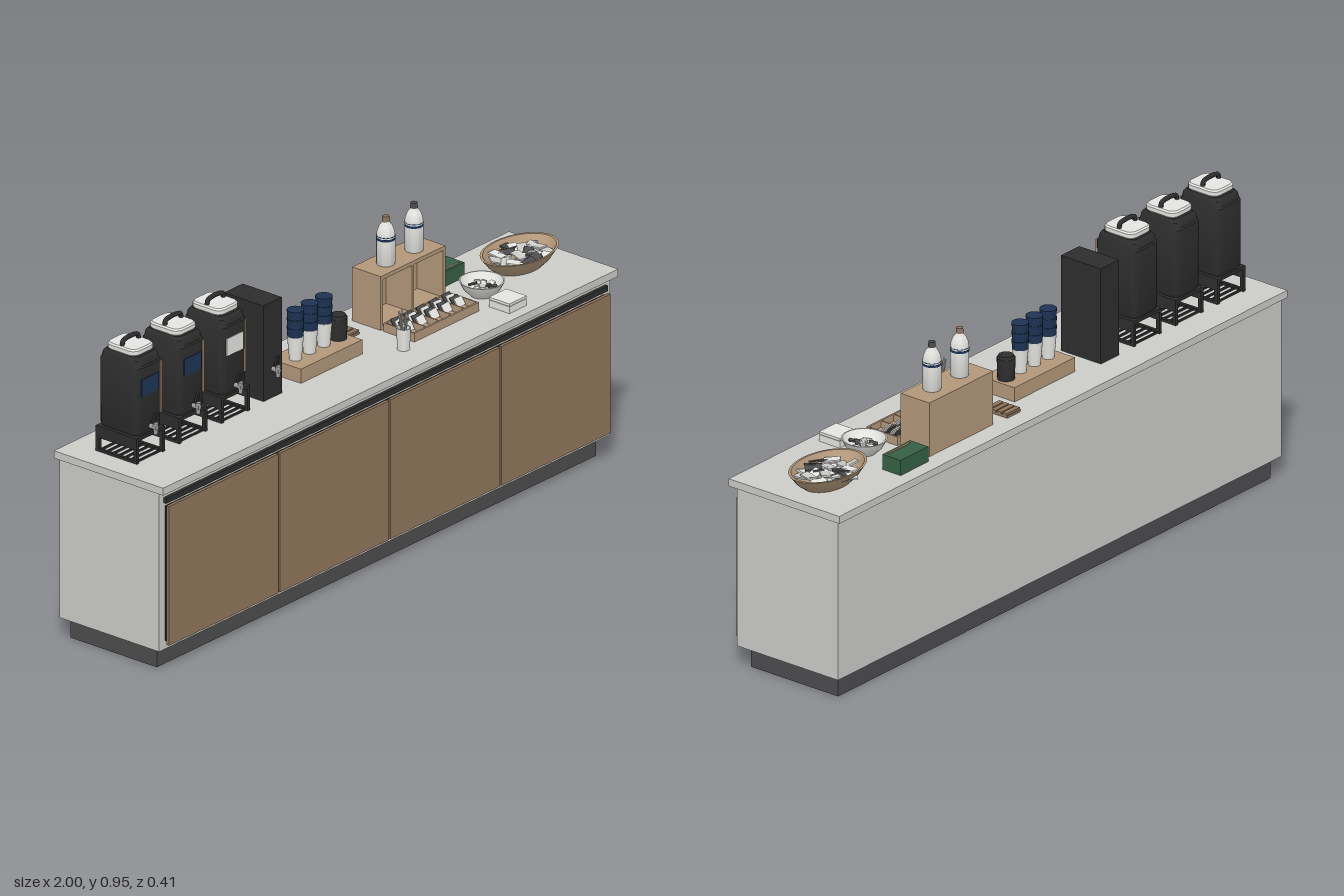
import * as THREE from 'three';
import { toCreasedNormals } from 'three/addons/utils/BufferGeometryUtils.js';

const mat = (name, color) => {
  const m = new THREE.MeshStandardMaterial({ color });
  m.name = name;
  return m;
};

export function createModel() {
  const root = new THREE.Group();
  root.name = 'beverageCounter';
  const M = {
    stone: mat('pale grey laminate', 0xcbcbc8),
    wood: mat('walnut', 0x8f755b),
    tan: mat('light wood', 0xb2977a),
    black: mat('black plastic', 0x2d2d2d),
    plinth: mat('dark grey', 0x4c4c4e),
    white: mat('white', 0xe4e4e1),
    blue: mat('navy blue', 0x1d3354),
    green: mat('green', 0x355f44),
    steel: mat('steel', 0x9c9d9e),
  };
  const TOP = 0.583;

  const group = (name, x = 0, y = 0, z = 0, parent = root) => {
    const g = new THREE.Group();
    g.name = name;
    g.position.set(x, y, z);
    parent.add(g);
    return g;
  };
  const add = (parent, name, geo, m, x = 0, y = 0, z = 0) => {
    const mesh = new THREE.Mesh(geo, m);
    mesh.name = name;
    mesh.position.set(x, y, z);
    parent.add(mesh);
    return mesh;
  };
  // box given by its limits on each axis
  const box = (p, name, m, x0, x1, y0, y1, z0, z1) =>
    add(p, name, new THREE.BoxGeometry(x1 - x0, y1 - y0, z1 - z0), m, (x0 + x1) / 2, (y0 + y1) / 2, (z0 + z1) / 2);
  // cylinder standing on y
  const cyl = (p, name, m, rTop, rBot, h, x, y, z, n = 20) =>
    add(p, name, new THREE.CylinderGeometry(rTop, rBot, h, n), m, x, y + h / 2, z);
  const lathe = (p, name, m, pts, x, y, z, n = 28) =>
    add(p, name, toCreasedNormals(new THREE.LatheGeometry(pts.map(a => new THREE.Vector2(...a)), n), 0.6), m, x, y, z);

  // stacked rounded-rectangle sections: [y, width, depth, corner radius]
  const loft = (rings) => {
    const pos = [], idx = [], n = 16;
    for (const [y, w, d, r] of rings) {
      for (let i = 0; i < n; i++) {
        const q = Math.floor(i / 4), a = (q + (i % 4) / 3) * Math.PI / 2;
        const sx = q === 0 || q === 3 ? 1 : -1, sz = q < 2 ? 1 : -1;
        pos.push(sx * (w / 2 - r) + r * Math.cos(a), y, sz * (d / 2 - r) + r * Math.sin(a));
      }
    }
    for (let k = 0; k < rings.length - 1; k++) {
      for (let i = 0; i < n; i++) {
        const a = k * n + i, b = k * n + (i + 1) % n;
        idx.push(a, a + n, b, b, a + n, b + n);
      }
    }
    const t = (rings.length - 1) * n;
    for (let i = 1; i < n - 1; i++) idx.push(0, i, i + 1, t, t + i + 1, t + i);
    const g = new THREE.BufferGeometry();
    g.setAttribute('position', new THREE.Float32BufferAttribute(pos, 3));
    g.setIndex(idx);
    return toCreasedNormals(g, 0.6);
  };
  let seed = 7;
  const rand = () => (seed = (seed * 16807) % 2147483647) / 2147483647;

  // cabinet
  const cabinet = group('cabinet');
  box(cabinet, 'plinth', M.plinth, -0.965, 0.965, 0, 0.065, -0.17, 0.15);
  box(cabinet, 'carcass', M.stone, -0.99, 0.99, 0.065, 0.56, -0.19, 0.18);
  box(cabinet, 'worktop', M.stone, -1, 1, 0.56, TOP, -0.203, 0.203);
  box(cabinet, 'gripRail', M.black, -0.97, 0.97, 0.521, 0.538, 0.179, 0.19);
  box(cabinet, 'doorShadowGap', M.black, -0.965, 0.965, 0.09, 0.51, 0.179, 0.182);
  for (let i = 0; i < 4; i++) {
    const x = -0.973 + i * 0.4865;
    box(cabinet, 'door', M.wood, x + 0.003, x + 0.4835, 0.083, 0.515, 0.19, 0.2);
  }

  // spout and lever shared by the urns and the tower
  const tap = (p, y, z) => {
    const t = group('tap', 0, y, z, p);
    add(t, 'tapStem', new THREE.CylinderGeometry(0.007, 0.007, 0.026, 12), M.steel, 0, 0, 0.013).rotation.x = Math.PI / 2;
    cyl(t, 'spout', M.steel, 0.008, 0.006, 0.034, 0, -0.02, 0.02, 12);
    box(t, 'lever', M.black, -0.005, 0.005, 0.013, 0.045, 0.012, 0.02).rotation.x = 0.25;
  };

  // insulated urns on stands
  [-0.86, -0.673, -0.487].forEach((x, i) => {
    const urn = group('urn', x, 0, -0.037);
    for (const sx of [-1, 1]) {
      for (const z of [-0.07, 0.07]) box(urn, 'standLeg', M.black, sx * 0.057 - 0.005, sx * 0.057 + 0.005, TOP, 0.66, z - 0.006, z + 0.006);
      box(urn, 'standSideRail', M.black, sx * 0.057 - 0.004, sx * 0.057 + 0.004, 0.625, 0.66, -0.07, 0.07);
      box(urn, 'standFoot', M.black, sx * 0.057 - 0.005, sx * 0.057 + 0.005, TOP, 0.591, -0.076, 0.076);
    }
    box(urn, 'standPlate', M.black, -0.062, 0.062, 0.652, 0.662, -0.076, 0.076);
    for (let k = 0; k < 7; k++) box(urn, 'dripGrate', M.black, -0.055, 0.055, TOP, 0.588, -0.069 + k * 0.022, -0.063 + k * 0.022);
    add(urn, 'urnBody', loft([[0.66, 0.1, 0.136, 0.016], [0.672, 0.112, 0.148, 0.02], [0.872, 0.112, 0.15, 0.02],
      [0.876, 0.11, 0.142, 0.02], [0.893, 0.104, 0.136, 0.02], [0.902, 0.09, 0.12, 0.02]]), M.black);
    add(urn, 'urnLid', loft([[0.9, 0.085, 0.1, 0.02], [0.906, 0.094, 0.112, 0.022], [0.918, 0.094, 0.112, 0.022], [0.923, 0.086, 0.104, 0.02]]), M.white);
    const arch = new THREE.CatmullRomCurve3([[-0.036, 0.918], [-0.033, 0.934], [-0.02, 0.939], [0.02, 0.939], [0.033, 0.934], [0.036, 0.918]]
      .map(([a, b]) => new THREE.Vector3(a, b, 0)));
    add(urn, 'urnHandle', new THREE.TubeGeometry(arch, 24, 0.007, 8), M.black);
    box(urn, 'urnLabel', i < 2 ? M.blue : M.white, -0.04, 0.034, 0.785, 0.838, 0.072, 0.077);
    box(urn, 'sightGauge', M.tan, 0.041, 0.047, 0.71, 0.87, 0.07, 0.077);
    tap(urn, 0.682, 0.074);
  });

  // slim water tower
  const tower = group('waterTower', -0.315, 0, -0.042);
  box(tower, 'towerBase', M.black, -0.04, 0.04, TOP, 0.594, -0.073, 0.073);
  box(tower, 'towerBody', M.black, -0.041, 0.041, 0.594, 0.88, -0.073, 0.073);
  tap(tower, 0.672, 0.073);

  // cup stacks on a wooden riser
  const cups = group('cupStand', -0.055, 0, -0.03);
  box(cups, 'cupRiser', M.tan, -0.135, 0.135, TOP, 0.627, -0.06, 0.06);
  for (const x of [-0.088, -0.026, 0.037]) {
    cyl(cups, 'cup', M.white, 0.024, 0.018, 0.073, x, 0.627, 0);
    for (let k = 0; k < 3; k++) cyl(cups, 'cupSleeve', M.blue, 0.025, 0.023, 0.027, x, 0.699 + k * 0.027, 0);
  }
  cyl(cups, 'lidStack', M.black, 0.027, 0.025, 0.066, 0.1, 0.627, 0);
  cyl(cups, 'lidRim', M.black, 0.022, 0.026, 0.008, 0.1, 0.693, 0);

  // small slatted coaster stack
  const coasters = group('coasters', 0.15, 0, -0.105);
  box(coasters, 'coasterBase', M.wood, -0.03, 0.03, TOP, 0.59, -0.04, 0.04);
  for (let k = 0; k < 4; k++) box(coasters, 'coasterSlat', M.wood, -0.03, 0.03, 0.59, 0.596, -0.038 + k * 0.02, -0.022 + k * 0.02);

  // stirrer cup
  const stir = group('stirrers', 0.182, TOP, 0.097);
  lathe(stir, 'stirrerCup', M.white, [[0, 0], [0.018, 0], [0.021, 0.067], [0.018, 0.067], [0.016, 0.006], [0, 0.006]], 0, 0, 0);
  for (let k = 0; k < 6; k++) {
    const a = k * Math.PI / 3, s = add(stir, 'stirrer', new THREE.CylinderGeometry(0.002, 0.002, 0.105, 6), M.white,
      0.008 * Math.cos(a), 0.064, 0.008 * Math.sin(a));
    s.rotation.set(0.12 * Math.sin(a), 0, -0.12 * Math.cos(a));
  }

  // open-fronted shelf box with two bays
  const shelf = group('shelfBox', 0.38, 0, -0.088);
  box(shelf, 'shelfTop', M.tan, -0.142, 0.142, 0.738, 0.75, -0.053, 0.053);
  box(shelf, 'shelfBack', M.tan, -0.142, 0.142, TOP, 0.738, -0.053, -0.043);
  box(shelf, 'shelfFloor', M.tan, -0.142, 0.142, TOP, 0.593, -0.043, 0.053);
  for (const x of [-0.137, 0, 0.137]) box(shelf, 'shelfUpright', M.tan, x - 0.005, x + 0.005, 0.593, 0.738, -0.043, 0.053);

  // bottles
  [0.318, 0.442].forEach((x, i) => {
    const b = group('bottle', x, 0.75, -0.084);
    lathe(b, 'bottleBody', M.white, [[0, 0], [0.025, 0], [0.027, 0.004], [0.027, 0.09], [0.025, 0.104], [0.019, 0.119], [0.012, 0.128], [0.011, 0.132], [0, 0.132]], 0, 0, 0);
    cyl(b, 'bottleCap', i ? M.plinth : M.wood, 0.01, 0.011, 0.018, 0, 0.13, 0);
    cyl(b, 'bottleBand', M.blue, 0.0275, 0.0275, 0.007, 0, 0.077, 0, 28);
    cyl(b, 'bottleThinBand', M.blue, 0.0274, 0.0274, 0.002, 0, 0.088, 0, 28);
  });

  // sachet tray with five compartments
  const tray = group('sachetTray', 0.38, 0, 0.033);
  box(tray, 'trayFloor', M.tan, -0.142, 0.142, TOP, 0.589, -0.057, 0.057);
  for (const z of [-0.054, 0.054]) box(tray, 'traySide', M.tan, -0.142, 0.142, TOP, 0.61, z - 0.003, z + 0.003);
  for (let k = 0; k < 6; k++) box(tray, 'trayDivider', M.tan, -0.142 + k * 0.056, -0.138 + k * 0.056, TOP, 0.61, -0.054, 0.054);
  for (let k = 0; k < 5; k++) {
    for (let j = 0; j < 4; j++) {
      const s = add(tray, 'sachet', new THREE.BoxGeometry(0.034, 0.028, 0.004), j % 2 ? M.white : M.plinth,
        -0.112 + k * 0.056, 0.608, -0.036 + j * 0.015);
      s.rotation.set(-0.6, 0, (rand() - 0.5) * 0.2);
    }
  }

  // green carton
  const carton = group('greenCarton');
  box(carton, 'cartonBody', M.green, 0.55, 0.674, TOP, 0.63, -0.16, -0.093);
  box(carton, 'cartonStripe', M.tan, 0.565, 0.66, 0.628, 0.632, -0.106, -0.1);

  // scattered packets inside a round or oval dish
  const packets = (p, count, rx, rz, y, size) => {
    for (let k = 0; k < count; k++) {
      const a = k * 2.4, r = Math.sqrt((k + 0.5) / count);
      const s = add(p, 'packet', new THREE.BoxGeometry(size, 0.005, size * 0.6), k % 4 === 3 ? M.plinth : k % 4 === 1 ? M.stone : M.white,
        rx * r * Math.cos(a), y + rand() * 0.014, rz * r * Math.sin(a));
      s.rotation.set((rand() - 0.5) * 0.7, rand() * 6.28, (rand() - 0.5) * 0.7);
    }
  };
  const bowl = group('bowl', 0.615, TOP, 0.022);
  lathe(bowl, 'bowlShell', M.white, [[0, 0], [0.033, 0], [0.052, 0.018], [0.066, 0.045], [0.062, 0.045], [0.048, 0.02], [0.03, 0.006], [0, 0.006]], 0, 0, 0);
  packets(bowl, 12, 0.034, 0.034, 0.018, 0.026);

  // napkin box
  const napkins = group('napkins');
  box(napkins, 'napkinStack', M.white, 0.563, 0.639, TOP, 0.604, 0.092, 0.168);
  box(napkins, 'napkinTop', M.white, 0.563, 0.639, 0.606, 0.613, 0.092, 0.168);
  box(napkins, 'napkinCore', M.steel, 0.565, 0.637, 0.603, 0.607, 0.094, 0.166);

  // oval basket
  const basket = group('basket', 0.838, TOP, -0.027);
  lathe(basket, 'basketShell', M.tan, [[0, 0], [0.085, 0], [0.11, 0.018], [0.137, 0.05], [0.128, 0.05], [0.103, 0.02], [0.082, 0.006], [0, 0.006]], 0, 0, 0, 36)
    .scale.z = 0.67;
  packets(basket, 30, 0.085, 0.068, 0.026, 0.048);

  return root;
}
